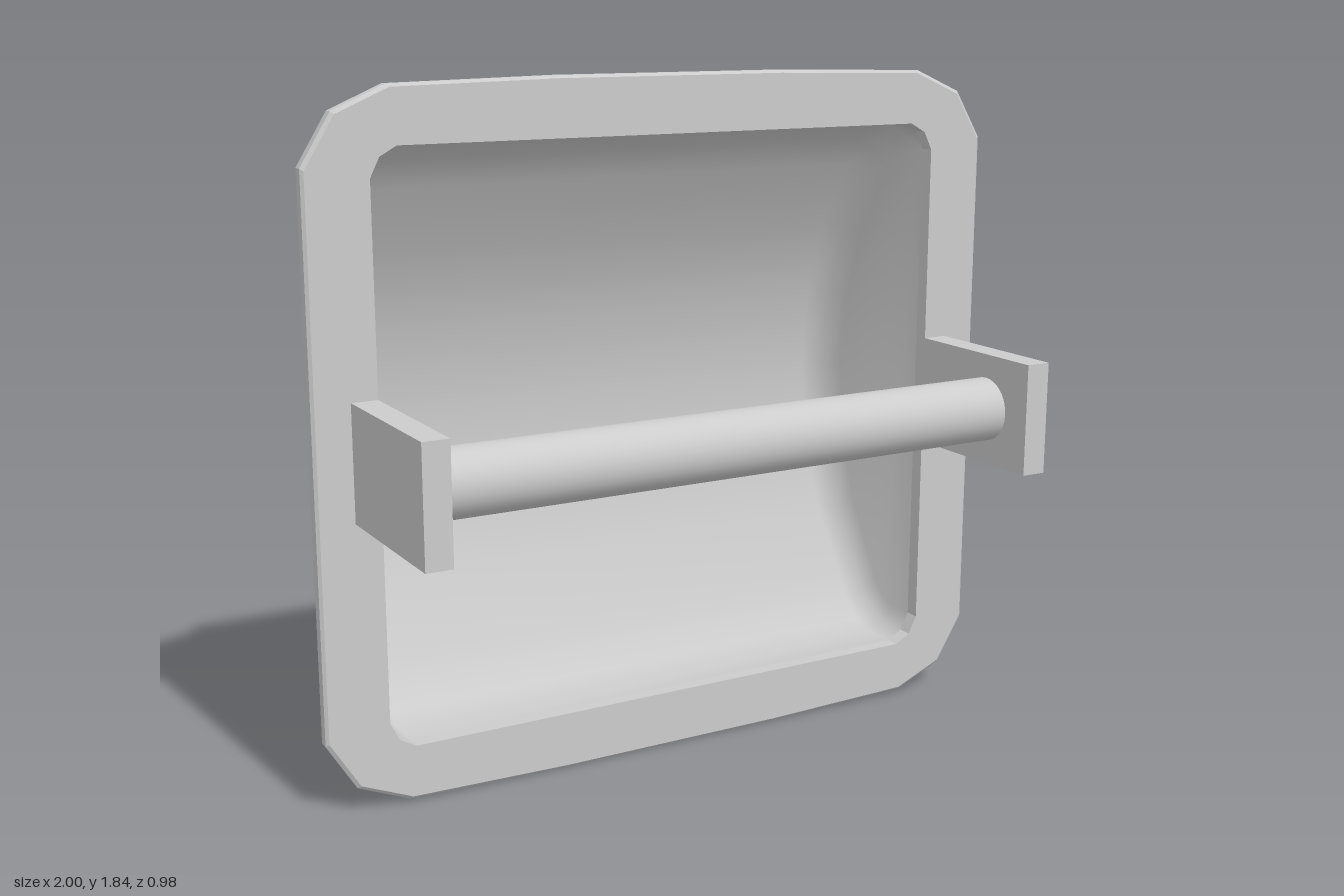
import * as THREE from 'three';
import { toCreasedNormals } from 'three/addons/utils/BufferGeometryUtils.js';

const MID_Y = 0.92;

// Mirror one corner's points (right edge to top edge) into a full counter-clockwise loop.
function mirroredLoop(corner) {
  const half = [...corner, ...corner.map(([x, y]) => [-x, y]).reverse()];
  return [...half, ...half.map(([x, y]) => [-x, -y])].map(([x, y]) => new THREE.Vector2(x, y));
}

// Flat frame with cut corners, a window and slightly chamfered outer edges.
function frameGeometry() {
  const shape = new THREE.Shape(mirroredLoop([[1, 0.72], [0.92, 0.85], [0.78, 0.91], [0.33, 0.92]]));
  shape.holes.push(new THREE.Path(mirroredLoop([[0.83, 0.69], [0.805, 0.74], [0.76, 0.765]])));
  const geo = new THREE.ExtrudeGeometry(shape, { depth: 0.04, steps: 3, bevelEnabled: false });
  const levels = [0, 0.006, 0.033, 0.04];
  const pos = geo.attributes.position;
  for (let i = 0; i < pos.count; i++) {
    const level = Math.round(pos.getZ(i) / 0.04 * 3);
    const outer = Math.abs(pos.getX(i)) > 0.9 || Math.abs(pos.getY(i)) > 0.8;
    const s = outer && (level === 0 || level === 3) ? 0.992 : 1;
    pos.setXYZ(i, pos.getX(i) * s, pos.getY(i) * s, levels[level]);
  }
  return toCreasedNormals(geo, 0.3);
}

// Curved bowl: side profiles swept across x, shrinking toward two flat ends.
function bowlGeometry() {
  const half = [[0.765, 0], [0.765, 0.11], [0.745, 0.16], [0.7, 0.22], [0.63, 0.26], [0.45, 0.38], [0.23, 0.46]];
  const profile = [...half, [0, 0.49], ...half.map(([y, d]) => [-y, d]).reverse()];
  const ends = [[0.83, 0.69, 0.38], [0.805, 0.74, 0.44], [0.76, 0.765, 0.49]];
  const sections = [...ends.map(([x, h, d]) => [-x, h, d]), ...ends.slice().reverse()];
  const n = profile.length;
  const verts = [], index = [];
  for (const [x, h, d] of sections) {
    for (const [y, z] of profile) verts.push(x, y * h / 0.765, -z * d / 0.49);
  }
  for (let s = 0; s < sections.length - 1; s++) {
    for (let i = 0; i < n - 1; i++) {
      const a = s * n + i, b = a + n;
      index.push(a, a + 1, b, b, a + 1, b + 1);
    }
  }
  // flat end walls
  const last = (sections.length - 1) * n;
  for (let i = 1; i < n - 1; i++) {
    index.push(0, i + 1, i, last, last + i, last + i + 1);
  }
  const geo = new THREE.BufferGeometry();
  geo.setAttribute('position', new THREE.Float32BufferAttribute(verts, 3));
  geo.setIndex(index);
  return toCreasedNormals(geo, 0.95);
}

export function createModel() {
  const group = new THREE.Group();
  group.name = 'recessedRollHolder';
  const metal = new THREE.MeshStandardMaterial({ color: 0xcccccc });
  metal.name = 'lightGrey';
  metal.side = THREE.DoubleSide;

  function add(name, geometry, x, y, z) {
    const mesh = new THREE.Mesh(geometry, metal);
    mesh.name = name;
    mesh.position.set(x, y, z);
    group.add(mesh);
    return mesh;
  }

  add('frame', frameGeometry(), 0, MID_Y, 0);
  add('recessedBowl', bowlGeometry(), 0, MID_Y, 0);

  // arms on both sides of the window
  for (const [name, side] of [['leftArm', 1], ['rightArm', -1]]) {
    add(name, new THREE.BoxGeometry(0.07, 0.305, 0.45), side * 0.865, MID_Y, 0.265);
  }

  // roller between the arms
  const roller = add('roller', new THREE.CylinderGeometry(0.0875, 0.0875, 1.66, 32), 0, MID_Y, 0.317);
  roller.rotation.z = Math.PI / 2;
  return group;
}
